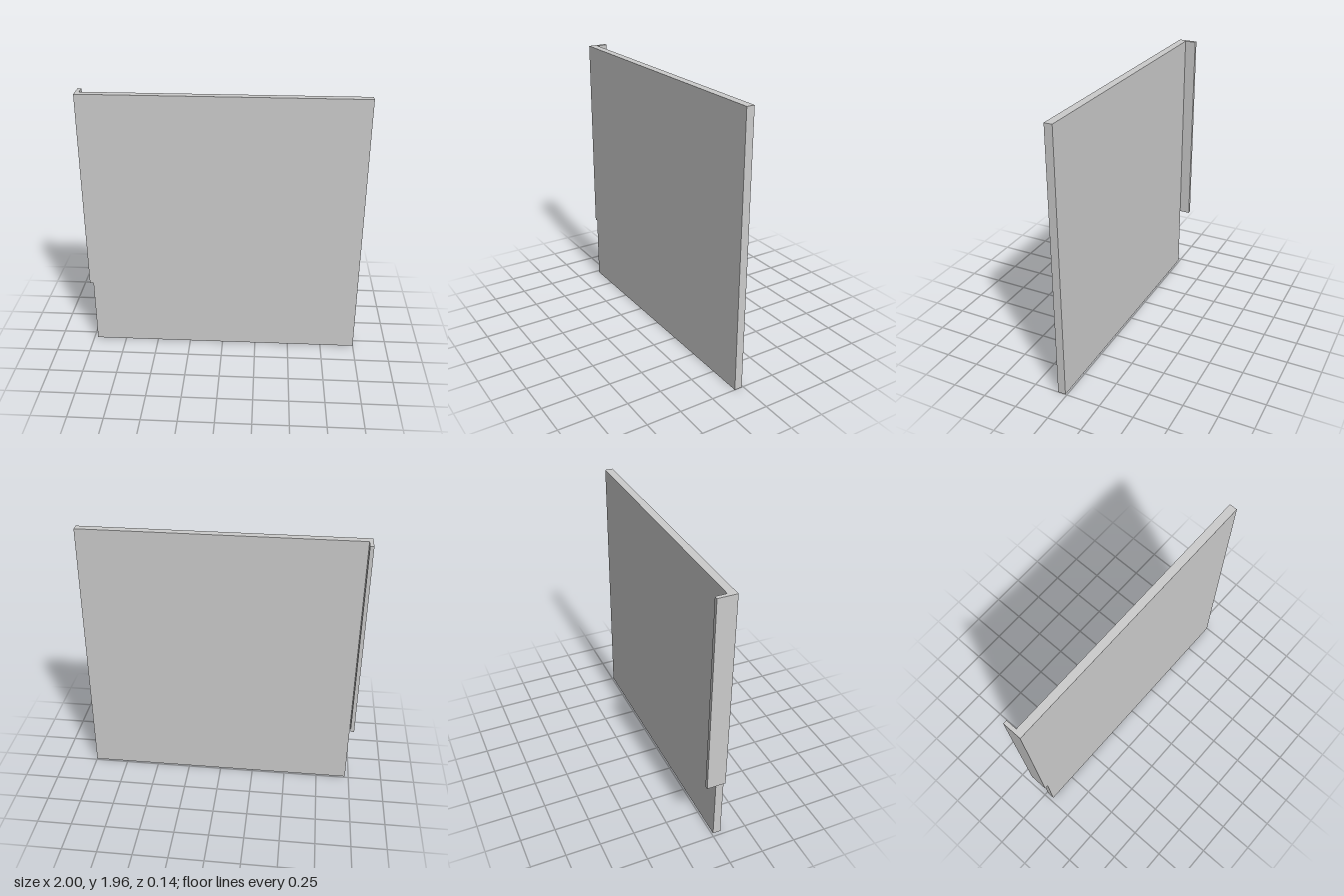
import * as THREE from 'three';

const HEIGHT = 1.96, NOTCH_X = -0.973, NOTCH_Y = 0.49;
const FRONT = 0.068, PANEL_BACK = 0.011, LIP_BACK = -0.068;

export function createModel() {
  const group = new THREE.Group();
  group.name = 'edgedPanel';
  const material = new THREE.MeshStandardMaterial({ color: 0xcccccc });

  // Flat panel with a narrow notch at its lower right corner
  const outline = new THREE.Shape([
    [NOTCH_X, 0], [1, 0], [1, HEIGHT], [-1, HEIGHT], [-1, NOTCH_Y], [NOTCH_X, NOTCH_Y],
  ].map(([x, y]) => new THREE.Vector2(x, y)));
  const panelGeometry = new THREE.ExtrudeGeometry(outline, {
    depth: FRONT - PANEL_BACK, bevelEnabled: false,
  });
  const panel = new THREE.Mesh(panelGeometry, material);
  panel.name = 'panel';
  panel.position.z = PANEL_BACK;
  group.add(panel);

  // Thin lip turned backwards along the right edge, above the notch
  const lip = new THREE.Mesh(
    new THREE.BoxGeometry(NOTCH_X + 1, HEIGHT - NOTCH_Y, PANEL_BACK - LIP_BACK), material);
  lip.name = 'edgeLip';
  lip.position.set((NOTCH_X - 1) / 2, (HEIGHT + NOTCH_Y) / 2, (PANEL_BACK + LIP_BACK) / 2);
  group.add(lip);

  return group;
}
